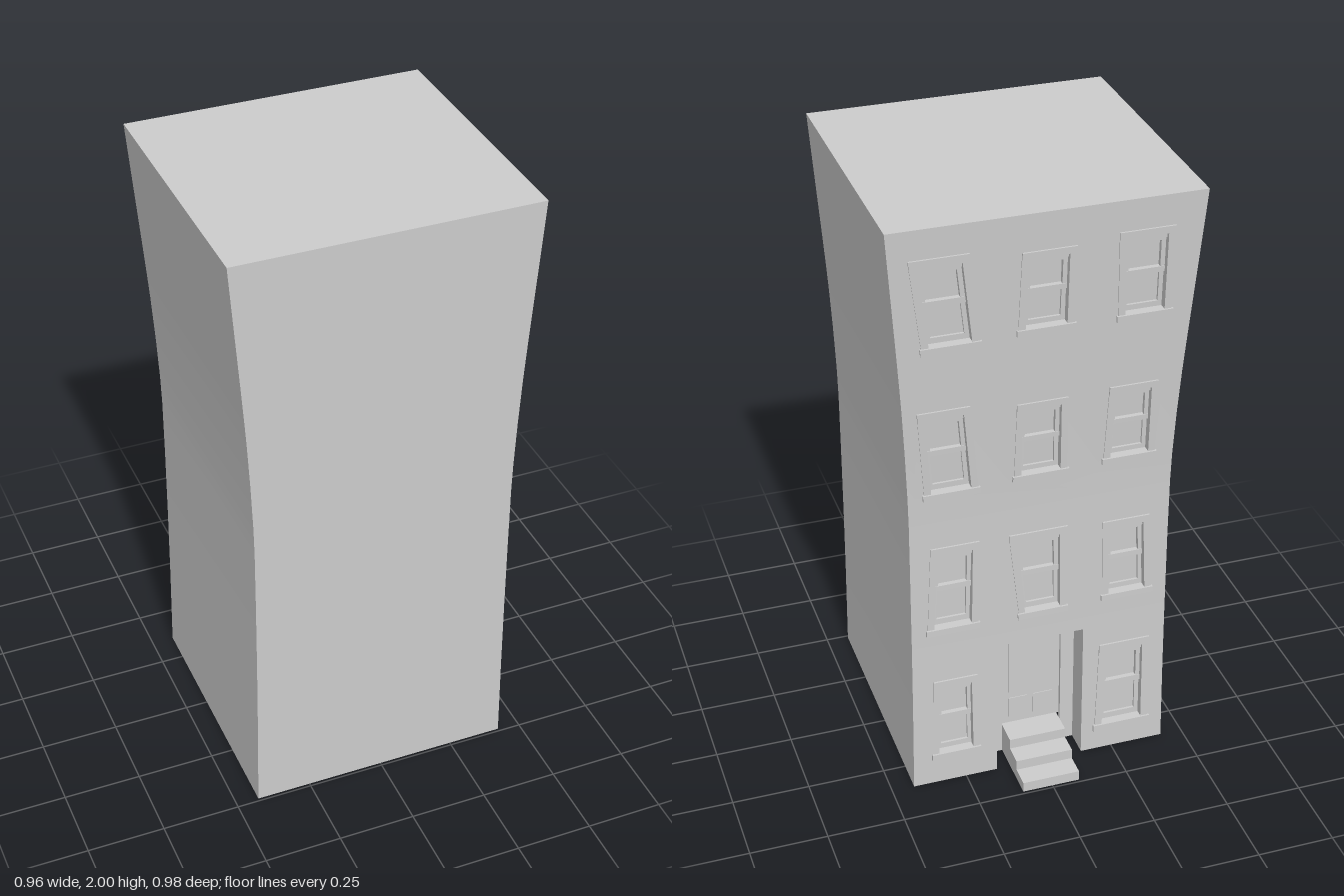
import * as THREE from 'three';

const grey = new THREE.MeshStandardMaterial({ color: 0xcccccc });
const shell = new THREE.MeshStandardMaterial({ color: 0xcccccc, side: THREE.DoubleSide });
const FRONT = 0.49;

// Flare of the tower: [height, half width, distance of the street wall]
const profile = [
  [0, 0.427, 0.356], [0.3, 0.423, 0.354], [0.54, 0.421, 0.353], [0.8, 0.42, 0.352], [1, 0.42, 0.353],
  [1.1, 0.422, 0.355], [1.25, 0.428, 0.361], [1.4, 0.436, 0.369], [1.49, 0.442, 0.374],
  [1.6, 0.45, 0.38], [1.8, 0.465, 0.39], [2, 0.48, 0.4],
];
function at(y, k) {
  let i = 1;
  while (i < profile.length - 1 && y > profile[i][0]) i++;
  const [a, b] = [profile[i - 1], profile[i]];
  return a[k] + (b[k] - a[k]) * (y - a[0]) / (b[0] - a[0]);
}

// Move every vertex by a rule (x, y, z) => [x, y, z]
function bend(geo, rule) {
  const p = geo.attributes.position;
  for (let i = 0; i < p.count; i++) p.setXYZ(i, ...rule(p.getX(i), p.getY(i), p.getZ(i)));
  geo.computeVertexNormals();
  return geo;
}
// Wall coordinates: s runs to the viewer's right, d points out of the street wall
const onWall = (s, y, d) => [-s, y, -at(y, 2) - d];

function add(group, name, geo, mat = grey) {
  const mesh = new THREE.Mesh(geo, mat);
  mesh.name = name;
  group.add(mesh);
}
function box(x0, x1, y0, y1, z0, z1) {
  return new THREE.BoxGeometry(x1 - x0, y1 - y0, z1 - z0)
    .translate((x0 + x1) / 2, (y0 + y1) / 2, (z0 + z1) / 2);
}

// Wall from two edge curves joined at every profile height
function sheet(edgeA, edgeB) {
  const pos = [], idx = [];
  profile.forEach(([y, w, b], i) => {
    pos.push(...edgeA(y, w, b), ...edgeB(y, w, b));
    if (i) {
      const n = i * 2;
      idx.push(n - 2, n - 1, n + 1, n - 2, n + 1, n);
    }
  });
  const geo = new THREE.BufferGeometry();
  geo.setAttribute('position', new THREE.Float32BufferAttribute(pos, 3));
  geo.setIndex(idx);
  geo.computeVertexNormals();
  return geo;
}

// Crooked windows per storey: [top left, top right, bottom left, bottom right, bottom, top]
const storeys = [
  { y0: 0, y1: 0.54, windows: [
    [-0.355, -0.21, -0.36, -0.205, 0.095, 0.403], [0.2, 0.37, 0.19, 0.375, 0.075, 0.42]] },
  { y0: 0.54, y1: 1, windows: [
    [-0.355, -0.2, -0.37, -0.205, 0.585, 0.907], [-0.105, 0.085, -0.07, 0.085, 0.585, 0.905],
    [0.2, 0.355, 0.205, 0.37, 0.597, 0.892]] },
  { y0: 1, y1: 1.49, windows: [
    [-0.392, -0.23, -0.37, -0.2, 1.085, 1.397], [-0.085, 0.075, -0.09, 0.08, 1.1, 1.373],
    [0.205, 0.36, 0.195, 0.362, 1.108, 1.38]] },
  { y0: 1.49, y1: 2, windows: [
    [-0.415, -0.235, -0.375, -0.2, 1.595, 1.905], [-0.08, 0.085, -0.087, 0.085, 1.61, 1.88],
    [0.212, 0.385, 0.22, 0.385, 1.605, 1.9]] },
];
const DOOR = { half: 0.145, top: 0.495, depth: 0.09 };

// Point of a window's crooked outline, u and v in 0..1
function quad([tl, tr, bl, br, y0, y1], u, v) {
  const left = bl + (tl - bl) * v, right = br + (tr - br) * v;
  return [left + (right - left) * u, y0 + (y1 - y0) * v];
}

// One storey of street wall with window holes and, at ground level, the doorway notch
function streetWall({ y0, y1, windows }) {
  const ys = profile.map((p) => p[0]).filter((y) => y >= y0 && y <= y1);
  const pts = [];
  if (y0 === 0) {
    pts.push([-DOOR.half, 0], [-DOOR.half, DOOR.top], [DOOR.half, DOOR.top], [DOOR.half, 0]);
  }
  ys.forEach((y) => pts.push([at(y, 1), y]));
  [...ys].reverse().forEach((y) => pts.push([-at(y, 1), y]));
  const shape = new THREE.Shape(pts.map((p) => new THREE.Vector2(...p)));
  for (const w of windows) {
    const hole = [[0.06, 0.04], [0.06, 0.96], [0.94, 0.96], [0.94, 0.04]];
    shape.holes.push(new THREE.Path(hole.map(([u, v]) => new THREE.Vector2(...quad(w, u, v)))));
  }
  return bend(new THREE.ShapeGeometry(shape), onWall);
}

// Sash window parts: [name, u0, u1, v0, v1, d0, d1]
const windowParts = [
  ['casingLeft', 0, 0.13, 0.05, 0.95, -0.035, 0.003],
  ['casingRight', 0.87, 1, 0.05, 0.95, -0.035, 0.003],
  ['lintel', 0, 1, 0.92, 1, -0.035, 0.006],
  ['sill', -0.03, 1.03, 0, 0.07, -0.035, 0.009],
  ['headStrip', 0.13, 0.87, 0.86, 0.92, -0.035, -0.008],
  ['upperStileLeft', 0.13, 0.21, 0.5, 0.86, -0.035, -0.016],
  ['upperStileRight', 0.79, 0.87, 0.5, 0.86, -0.035, -0.016],
  ['upperRail', 0.21, 0.79, 0.82, 0.86, -0.035, -0.016],
  ['meetingRail', 0.13, 0.87, 0.47, 0.53, -0.035, -0.014],
  ['lowerStileLeft', 0.13, 0.21, 0.07, 0.47, -0.035, -0.022],
  ['lowerStileRight', 0.79, 0.87, 0.07, 0.47, -0.035, -0.022],
  ['lowerRail', 0.21, 0.79, 0.07, 0.13, -0.035, -0.022],
  ['glass', 0.13, 0.87, 0.07, 0.92, -0.036, -0.03],
];
function makeWindow(w) {
  const group = new THREE.Group();
  group.name = 'window';
  for (const [name, ...b] of windowParts) {
    add(group, name, bend(box(...b), (u, v, d) => onWall(...quad(w, u, v), d)));
  }
  return group;
}

// Recessed doorway with frame and panelled door
function makeDoorway() {
  const group = new THREE.Group();
  group.name = 'doorway';
  const { half: h, top: t, depth: d } = DOOR;
  const part = (name, ...b) => add(group, name, bend(box(...b), onWall));
  for (const s of [-1, 1]) {
    const span = (a, b) => [Math.min(s * a, s * b), Math.max(s * a, s * b)];
    part('recessWall', ...span(h, h + 0.006), 0, t + 0.006, -d, -0.001);
    part('doorJamb', ...span(0.1, h), 0, t, -d - 0.012, -d + 0.004);
    part('lowerPanel', ...span(0.01, 0.075), 0.125, 0.2, -d - 0.01, -d - 0.005);
  }
  part('recessCeiling', -h, h, t, t + 0.006, -d, -0.001);
  part('doorHead', -0.1, 0.1, 0.455, t, -d - 0.012, -d + 0.004);
  part('door', -0.1, 0.1, 0.1, 0.455, -d - 0.014, -d - 0.008);
  part('upperPanel', -0.075, 0.075, 0.225, 0.43, -d - 0.01, -d - 0.005);
  return group;
}

export function createModel() {
  const model = new THREE.Group();
  model.name = 'townhouse';

  // Open-bottomed shell
  const body = new THREE.Group();
  body.name = 'body';
  const edge = (sx, front) => (y, w, b) => [sx * w, y, front ? FRONT : -b];
  add(body, 'plainWall', sheet(edge(-1, true), edge(1, true)), shell);
  add(body, 'leftWall', sheet(edge(1, true), edge(1, false)), shell);
  add(body, 'rightWall', sheet(edge(-1, false), edge(-1, true)), shell);
  const roof = new THREE.PlaneGeometry(0.96, 0.89).rotateX(-Math.PI / 2).translate(0, 2, 0.045);
  add(body, 'roof', roof, shell);
  model.add(body);

  // Street side
  for (const storey of storeys) {
    add(body, 'streetWall', streetWall(storey), shell);
    storey.windows.forEach((w) => model.add(makeWindow(w)));
  }
  model.add(makeDoorway());

  // Stoop of three steps
  const stoop = new THREE.Group();
  stoop.name = 'stoop';
  [-0.49, -0.42, -0.352].forEach((z, i) => {
    add(stoop, 'step', box(-0.09, 0.1, i * 0.035, (i + 1) * 0.035, z, -0.262));
  });
  model.add(stoop);
  return model;
}
